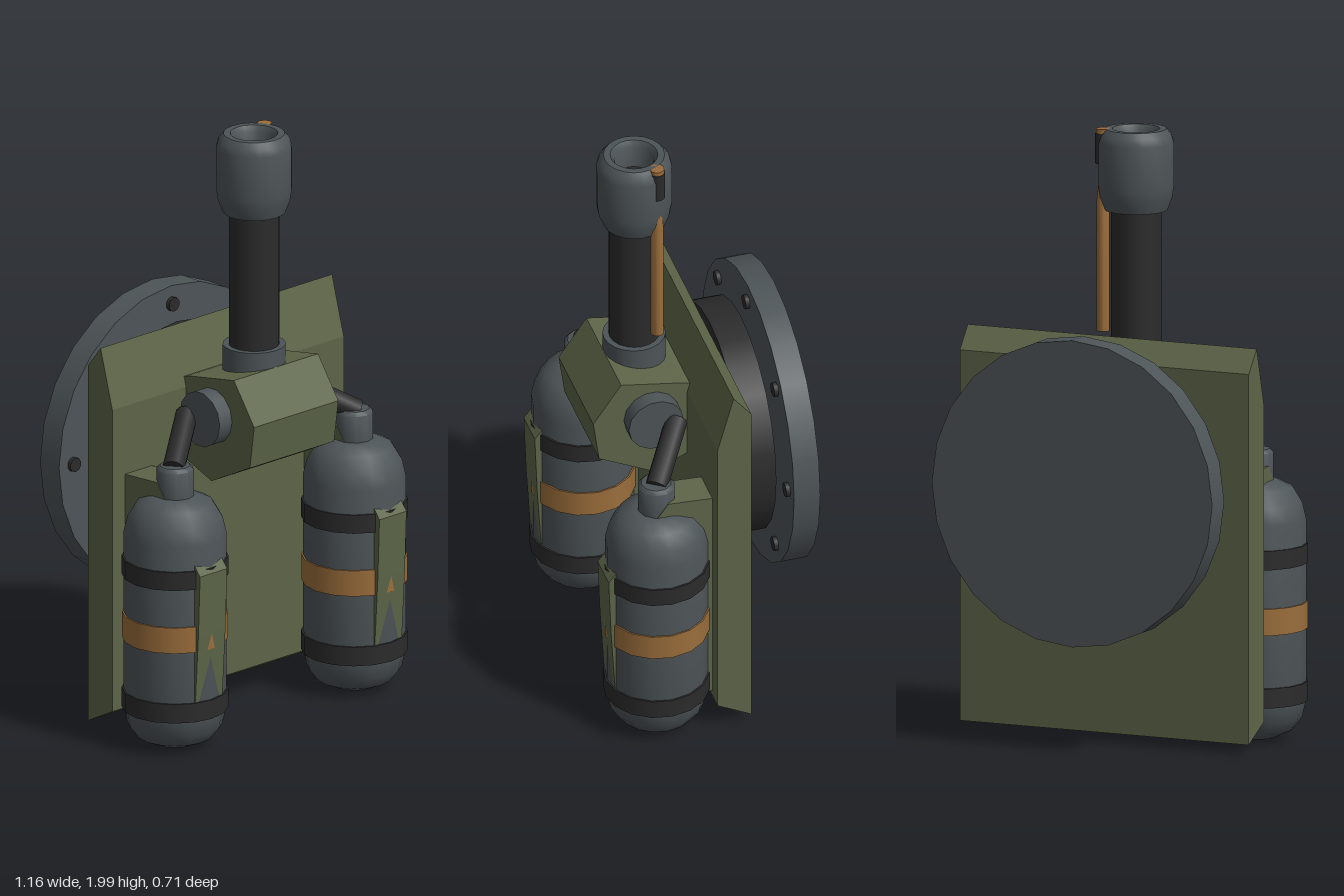
import * as THREE from 'three';
import { toCreasedNormals } from 'three/addons/utils/BufferGeometryUtils.js';

const mat = (name, color) => {
  const m = new THREE.MeshStandardMaterial({ color });
  m.name = name;
  return m;
};

export function createModel() {
  const green = mat('olive green', 0x5d6548);
  const grey = mat('steel grey', 0x4d5457);
  const black = mat('rubber black', 0x2b2b2b);
  const orange = mat('copper orange', 0x9a6d3b);

  const model = new THREE.Group();
  model.name = 'backpackLauncher';

  const add = (parent, name, geometry, material, x = 0, y = 0, z = 0) => {
    const mesh = new THREE.Mesh(geometry, material);
    mesh.name = name;
    mesh.position.set(x, y, z);
    parent.add(mesh);
    return mesh;
  };
  // Side profile given as [z, y] points, extruded to a width along x
  const slab = (points, width) => {
    const shape = new THREE.Shape(points.map(([z, y]) => new THREE.Vector2(z, y)));
    return new THREE.ExtrudeGeometry(shape, { depth: width, bevelEnabled: false })
      .rotateY(-Math.PI / 2).translate(width / 2, 0, 0);
  };
  const lathe = (points, sides) => toCreasedNormals(
    new THREE.LatheGeometry(points.map(([r, y]) => new THREE.Vector2(r, y)), sides), 0.8);
  // Upright cylinder between two heights
  const post = (r, y0, y1, sides, rTop = r) =>
    new THREE.CylinderGeometry(rTop, r, y1 - y0, sides).translate(0, (y0 + y1) / 2, 0);
  // Disc whose axis runs along z
  const disc = (r, z0, z1, sides) =>
    new THREE.CylinderGeometry(r, r, z1 - z0, sides).rotateX(Math.PI / 2).translate(0, 0, (z0 + z1) / 2);

  // Back plate with bevelled top and bottom
  add(model, 'backPlate', slab([
    [0, 0.1], [0, 1.14], [-0.055, 1.34], [-0.115, 1.265], [-0.115, 0.04],
  ], 1.045), green);

  // Mounting discs behind the plate
  const discY = 0.868;
  add(model, 'innerDisc', disc(0.39, -0.242, -0.135, 24), black, 0, discY);
  add(model, 'outerDisc', disc(0.507, -0.355, -0.266, 24), grey, 0, discY);
  for (let i = 0; i < 8; i++) {
    const a = (i / 8) * Math.PI * 2;
    add(model, 'discBolt', disc(0.024, -0.27, -0.252, 10), black,
      Math.cos(a) * 0.445, discY + Math.sin(a) * 0.445);
  }

  // Central valve housing
  add(model, 'housing', slab([
    [-0.02, 0.9], [0.12, 0.845], [0.3, 0.935], [0.32, 1.08], [0.225, 1.218], [0.01, 1.18], [-0.02, 1.17],
  ], 0.38), green);

  // Barrel, collar and muzzle
  const barrel = new THREE.Group();
  barrel.name = 'barrel';
  barrel.position.z = 0.122;
  model.add(barrel);
  add(barrel, 'collar', post(0.103, 1.17, 1.275, 20), grey);
  add(barrel, 'barrelTube', post(0.083, 1.25, 1.8, 20), black);
  add(barrel, 'muzzle', lathe([
    [0.08, 1.73], [0.103, 1.732], [0.119, 1.775], [0.124, 1.81],
    [0.124, 1.955], [0.117, 1.98], [0.1, 2], [0.078, 2], [0.065, 1.98], [0.06, 1.9],
  ], 20), grey);
  add(barrel, 'bore', post(0.064, 1.85, 1.905, 20), black);

  // Igniter rod beside the barrel
  const igniter = new THREE.Group();
  igniter.name = 'igniter';
  igniter.position.set(0.095, 0, 0.073);
  model.add(igniter);
  add(igniter, 'igniterRod', lathe([
    [0, 1.332], [0.022, 1.332], [0.022, 1.76], [0.014, 1.83], [0.014, 1.9],
  ], 12), orange);
  add(igniter, 'igniterSleeve', post(0.026, 1.885, 1.985, 12), black);
  add(igniter, 'igniterTip', post(0.024, 1.985, 2, 12), orange);

  // Mirrored tanks, brackets, hoses and ports
  for (const s of [1, -1]) {
    const side = new THREE.Group();
    side.name = s > 0 ? 'leftTank' : 'rightTank';
    model.add(side);
    const x = s * 0.405, z = 0.172;

    add(side, 'tankBody', lathe([
      [0, 0.007], [0.07, 0.015], [0.125, 0.04], [0.155, 0.08], [0.168, 0.14],
      [0.168, 0.735], [0.155, 0.79], [0.125, 0.84], [0.075, 0.864], [0, 0.868],
    ], 16), grey, x, 0, z);
    add(side, 'tankNeck', lathe([
      [0.062, 0.85], [0.062, 0.955], [0.05, 0.967], [0, 0.967],
    ], 10), grey, x, 0, z);
    add(side, 'lowerBand', post(0.174, 0.135, 0.2, 16), black, x, 0, z);
    add(side, 'upperBand', post(0.174, 0.592, 0.655, 16), black, x, 0, z);
    add(side, 'markingBand', post(0.173, 0.375, 0.463, 16), orange, x, 0, z);

    // Bracket reaching from the plate through to the tank front
    add(side, 'tankBracket', slab([
      [-0.01, 0.12], [0.31, 0.14], [0.331, 0.2], [0.345, 0.43], [0.353, 0.64],
      [0.325, 0.675], [0.15, 0.915], [-0.01, 0.905],
    ], 0.122), green, x);

    // Feed port and hose
    add(side, 'feedPort', new THREE.CylinderGeometry(0.094, 0.094, 0.075, 14).rotateZ(Math.PI / 2),
      grey, s * 0.208, 1.072, 0.122);
    const a = new THREE.Vector3(s * 0.415, 0.955, 0.175);
    const b = new THREE.Vector3(s * 0.235, 1.07, 0.05);
    const hose = add(side, 'hose', new THREE.CylinderGeometry(0.037, 0.037, a.distanceTo(b), 12), black);
    hose.position.copy(a).lerp(b, 0.5);
    hose.quaternion.setFromUnitVectors(new THREE.Vector3(0, 1, 0), b.clone().sub(a).normalize());
  }

  return model;
}
